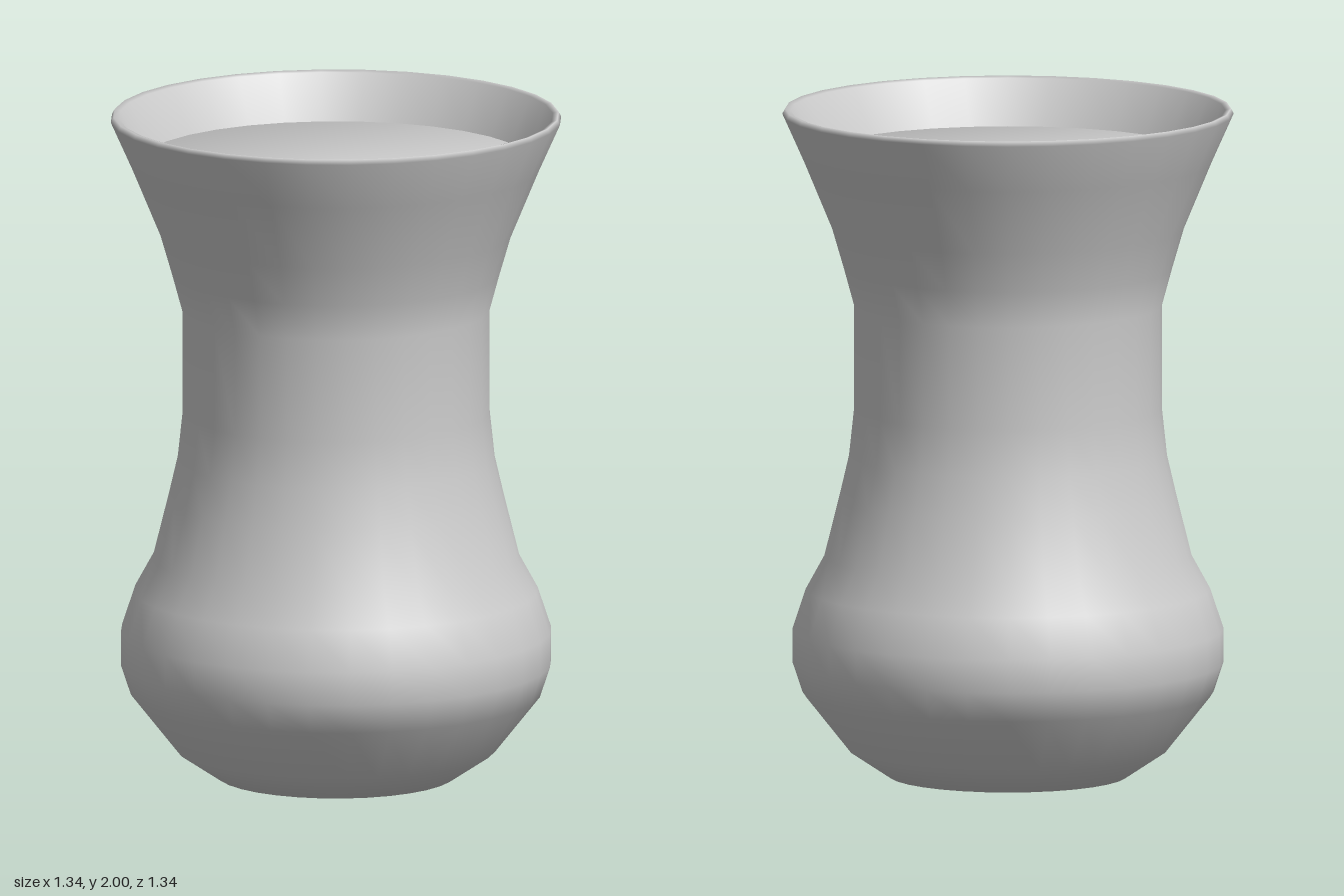
import * as THREE from 'three';

const SIDES = 32;

// Outer wall as [radius, height], from foot to rim
const outer = [
  [0.355, 0], [0.475, 0.08], [0.61, 0.25], [0.64, 0.34], [0.64, 0.44],
  [0.6, 0.56], [0.545, 0.66], [0.5, 0.84], [0.472, 0.96], [0.457, 1.1],
  [0.457, 1.41], [0.487, 1.52], [0.522, 1.64], [0.605, 1.84], [0.67, 1.985],
];

// Inner wall as [radius, height], from floor to just under the liquid surface
const inner = [
  [0.35, 0.06], [0.45, 0.12], [0.57, 0.27], [0.6, 0.35], [0.6, 0.43],
  [0.565, 0.55], [0.51, 0.65], [0.44, 0.96], [0.422, 1.1],
  [0.422, 1.41], [0.452, 1.53], [0.487, 1.65],
];

function turned(name, points, material) {
  const geometry = new THREE.LatheGeometry(
    points.map(([r, y]) => new THREE.Vector2(r, y)), SIDES);
  const mesh = new THREE.Mesh(geometry, material);
  mesh.name = name;
  return mesh;
}

export function createModel() {
  const grey = new THREE.MeshStandardMaterial({ color: 0xcccccc });
  grey.name = 'light grey';

  const group = new THREE.Group();
  group.name = 'teaGlass';

  // Glass: foot, outer wall, rounded lip, then back down the inside
  const lip = [[0.662, 2], [0.645, 1.995]];
  const innerDown = [...inner, [0.578, 1.86]].reverse();
  group.add(turned('glass',
    [[0, 0], ...outer, ...lip, ...innerDown, [0, 0.06]], grey));

  // Tea filling the inside, softly shaded over its edge
  const fill = inner.map(([r, y]) => [r - 0.004, y + 0.004]);
  group.add(turned('tea',
    [[0, 0.064], ...fill, [0.58, 1.86], [0, 1.86]], grey));

  return group;
}
